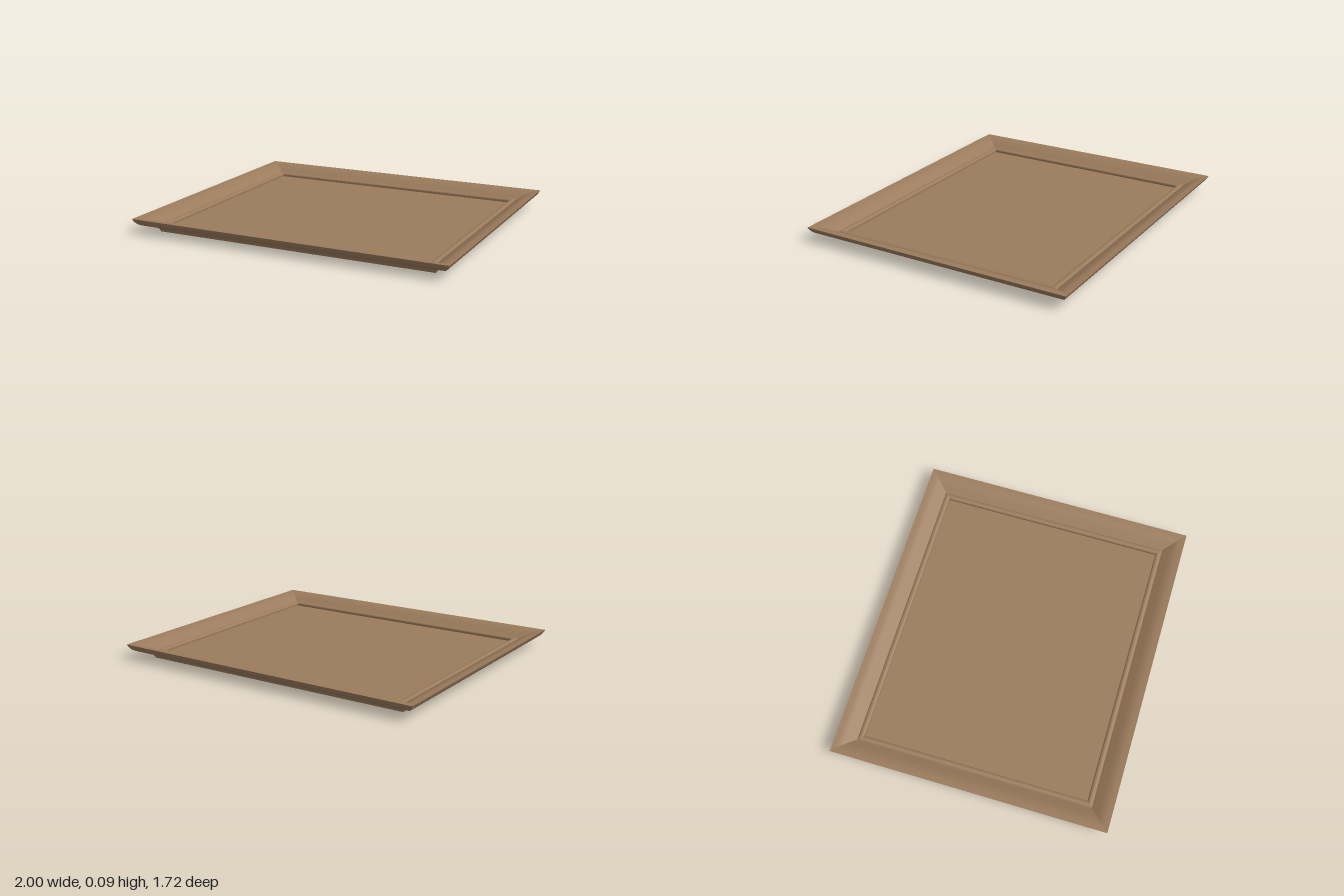
import * as THREE from 'three';

const HALF_X = 1, HALF_Z = 0.86;

// Sweeps a profile of [inset, height] points round the rectangle with mitred corners.
// Each side has its own vertices, so the mitres stay sharp and the moulding smooth.
function mitredBand(profile) {
  const corners = [[-1, 1], [1, 1], [1, -1], [-1, -1]];
  const positions = [], indices = [];
  for (let side = 0; side < 4; side++) {
    const base = positions.length / 3;
    for (const [inset, y] of profile) {
      for (const [sx, sz] of [corners[side], corners[(side + 1) % 4]]) {
        positions.push(sx * (HALF_X - inset), y, sz * (HALF_Z - inset));
      }
    }
    for (let i = 0; i < profile.length - 1; i++) {
      const a = base + i * 2;
      indices.push(a, a + 1, a + 3, a, a + 3, a + 2);
    }
  }
  const geometry = new THREE.BufferGeometry();
  geometry.setAttribute('position', new THREE.Float32BufferAttribute(positions, 3));
  geometry.setIndex(indices);
  geometry.computeVertexNormals();
  return geometry;
}

// Smooth profile through a few points
function curved(points, steps) {
  const curve = new THREE.SplineCurve(points.map(([d, y]) => new THREE.Vector2(d, y)));
  return curve.getPoints(steps).map(p => [p.x, p.y]);
}

export function createModel() {
  const group = new THREE.Group();
  const wood = new THREE.MeshStandardMaterial({ color: 0x9b7b5c });
  wood.name = 'brown wood';

  const add = (name, geometry) => {
    const mesh = new THREE.Mesh(geometry, wood);
    mesh.name = name;
    group.add(mesh);
    return mesh;
  };

  // Frame moulding, from the underside, up the outside and down to the panel
  add('frameUnderside', mitredBand([[0.16, 0], [0.12, 0]]));
  add('outerMoulding', mitredBand(curved([
    [0.12, 0], [0.112, 0.018], [0.095, 0.034], [0.07, 0.041],
    [0.04, 0.048], [0.015, 0.066], [0, 0.093],
  ], 24)));
  add('innerSlope', mitredBand(curved([
    [0, 0.093], [0.04, 0.088], [0.07, 0.077], [0.1, 0.06], [0.125, 0.045],
  ], 16)));
  add('innerBead', mitredBand(curved([
    [0.125, 0.045], [0.132, 0.051], [0.145, 0.053], [0.156, 0.049], [0.16, 0.042],
  ], 10)));
  add('innerLip', mitredBand([[0.16, 0.042], [0.16, 0.03]]));

  // Flat centre panel
  const panel = add('centrePanel', new THREE.BoxGeometry(1.68, 0.03, 1.4));
  panel.position.y = 0.015;

  return group;
}
